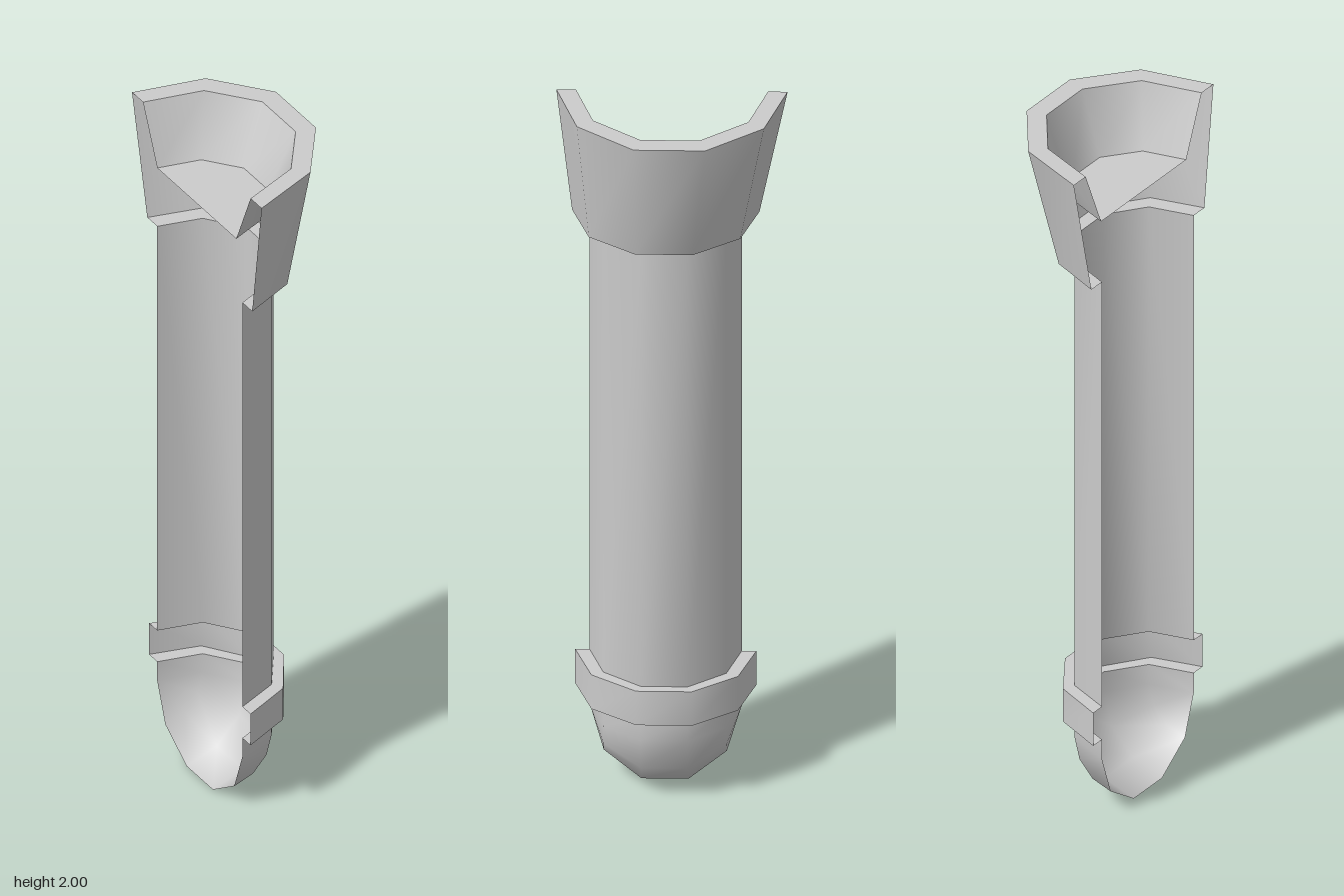
import * as THREE from 'three';
import { toCreasedNormals } from 'three/addons/utils/BufferGeometryUtils.js';

const SIDES = 5;              // facets round the half shell
const CX = -0.1435;           // middle of the open side
const CZ = 0.016;
const TILT = Math.atan2(0.098, 0.995);

const material = new THREE.MeshStandardMaterial({ color: 0xcccccc, side: THREE.DoubleSide });

// Half ring: depth bulges towards +x, width runs along the open side.
// A swing angle turns the half ring downwards about the open side.
function halfRing(y, depth, width, { cz = CZ, swing = 0, drop = 0 } = {}) {
  const points = [];
  for (let i = 0; i <= SIDES; i++) {
    const a = -Math.PI / 2 + (Math.PI * i) / SIDES;
    const n = depth * Math.cos(a) * Math.cos(swing);
    const t = width * Math.sin(a);
    points.push([
      CX + n * Math.cos(TILT) + t * Math.sin(TILT),
      y - drop * Math.cos(a) * Math.sin(swing),
      cz + t * Math.cos(TILT) - n * Math.sin(TILT),
    ]);
  }
  return points;
}

// Skin between successive half rings
function loft(name, rows) {
  const index = [];
  const w = SIDES + 1;
  for (let r = 0; r < rows.length - 1; r++) {
    for (let i = 0; i < SIDES; i++) {
      const a = r * w + i;
      index.push(a, a + w, a + 1, a + 1, a + w, a + w + 1);
    }
  }
  const geometry = new THREE.BufferGeometry();
  geometry.setAttribute('position', new THREE.Float32BufferAttribute(rows.flat(2), 3));
  geometry.setIndex(index);
  const mesh = new THREE.Mesh(toCreasedNormals(geometry, 0.8), material);
  mesh.name = name;
  return mesh;
}

export function createModel() {
  const model = new THREE.Group();
  model.name = 'halfPipe';
  const D = 0.196, W = 0.194;   // shaft depth and half width

  // Rounded bottom, swung down from the shaft in three steps
  const bowl = [];
  for (let k = 3; k >= 0; k--) {
    bowl.push(halfRing(0.19, D, W, { swing: (k * Math.PI) / 6, drop: 0.19 / Math.cos(Math.PI / 10) }));
  }
  bowl.push(halfRing(0.25, D, W));
  model.add(loft('roundedEnd', bowl));

  // Raised band with its two ledges
  model.add(loft('band', [
    halfRing(0.25, D, W),
    halfRing(0.25, 0.222, 0.231),
    halfRing(0.35, 0.222, 0.231),
    halfRing(0.35, D, W),
  ]));

  model.add(loft('shaft', [halfRing(0.35, D, W), halfRing(1.645, D, W)]));

  // Flared mouth: ledge, outer wall, rim, inner wall and floor
  const top = { cz: 0 };
  model.add(loft('flaredMouth', [
    halfRing(1.645, D, W),
    halfRing(1.645, 0.236, 0.239),
    halfRing(2, 0.321, 0.295, top),
    halfRing(2, 0.266, 0.245, top),
    halfRing(1.83, 0.192, 0.18, top),
    halfRing(1.83, 0, 0.18, top),
  ]));

  return model;
}
